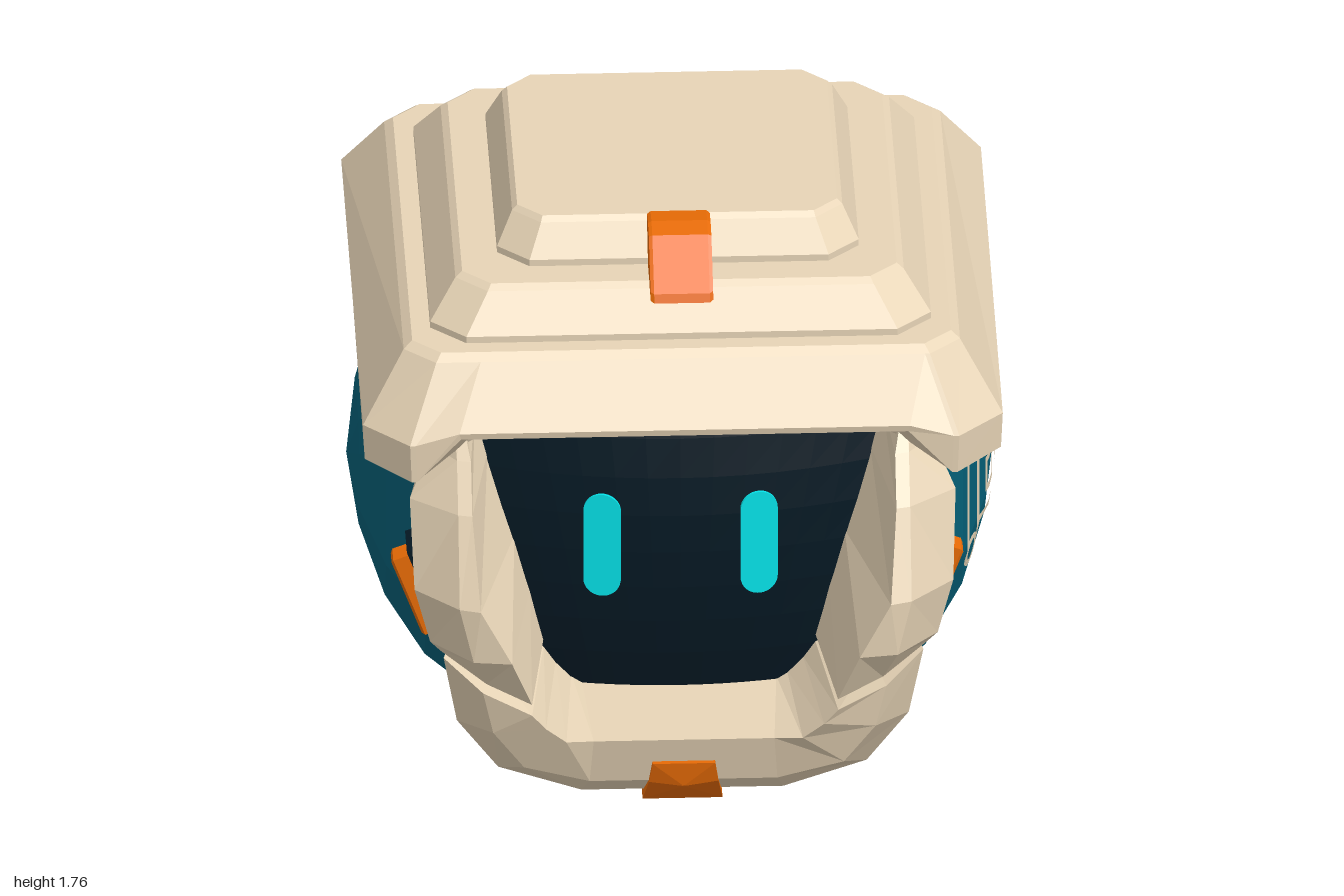
import * as THREE from 'three';
import { mergeGeometries } from 'three/addons/utils/BufferGeometryUtils.js';

const paint = (name, color, side = THREE.FrontSide) => {
  const m = new THREE.MeshStandardMaterial({ color, flatShading: true, side });
  m.name = name;
  return m;
};

// Closed solid through rings of [x, y, z] points, capped at both ends, faces turned outward
function loft(rings) {
  const tris = [];
  const n = rings[0].length;
  for (let i = 0; i < rings.length - 1; i++) {
    for (let j = 0; j < n; j++) {
      const k = (j + 1) % n;
      const a = rings[i][j], b = rings[i][k], c = rings[i + 1][k], d = rings[i + 1][j];
      tris.push([a, b, c], [a, c, d]);
    }
  }
  const cap = (ring, flip) => {
    const mid = [0, 1, 2].map(q => ring.reduce((s, p) => s + p[q], 0) / n);
    ring.forEach((p, j) => {
      const r = ring[(j + 1) % n];
      tris.push(flip ? [mid, r, p] : [mid, p, r]);
    });
  };
  cap(rings[0], true);
  cap(rings[rings.length - 1], false);
  const v = p => new THREE.Vector3(...p);
  const volume = tris.reduce((s, [a, b, c]) => s + v(a).dot(v(b).cross(v(c))), 0);
  if (volume < 0) tris.forEach(t => t.reverse());
  const g = new THREE.BufferGeometry();
  g.setAttribute('position', new THREE.Float32BufferAttribute(tris.flat(2), 3));
  g.computeVertexNormals();
  return g;
}

const mirrorRing = ring => ring.map(([x, y, z]) => [-x, y, z]);

// Square hat ring with cut corners; extra front points allow a raised brow
function hatRing(half, front, back, cut, height) {
  const n1 = (half - cut) * 0.82, n2 = (half - cut) * 0.98;
  const pts = [[-n2, front], [-n1, front], [n1, front], [n2, front], [half - cut, front],
    [half, front - cut], [half, cut - back], [half - cut, -back],
    [cut - half, -back], [-half, cut - back], [-half, front - cut], [cut - half, front]];
  return pts.map(([x, z], i) => [x, typeof height === 'number' ? height : height(z, i === 1 || i === 2), z]);
}

// Side shell: outline in (z, y), bulging outward along x
const shellOutline = [[0.43, 0.95], [0.43, 0.36], [0.28, 0.12], [-0.58, 0.12],
  [-0.76, 0.35], [-0.82, 0.98], [-0.6, 1.24], [0.28, 1.24]];
const shellCentre = [-0.17, 0.66];
const shellSteps = [[0, 0.93], [0.3, 0.9], [0.6, 0.83], [0.85, 0.72], [1, 0.59]];

// Height of the shell surface at (z, y)
function shellX(z, y) {
  const [cz, cy] = shellCentre;
  let k = 0;
  shellOutline.forEach(([z0, y0], i) => {
    const [z1, y1] = shellOutline[(i + 1) % shellOutline.length];
    const nz = y1 - y0, ny = z0 - z1;
    k = Math.max(k, (nz * (z - cz) + ny * (y - cy)) / (nz * (z0 - cz) + ny * (y0 - cy)));
  });
  const i = Math.max(1, shellSteps.findIndex(s => s[0] >= k));
  const [k0, x0] = shellSteps[i - 1], [k1, x1] = shellSteps[i];
  return x0 + (x1 - x0) * (k - k0) / (k1 - k0);
}

export function createModel() {
  const model = new THREE.Group();
  const sand = paint('sand', 0xe9d6b8);
  const teal = paint('teal', 0x046078);
  const orange = paint('orange', 0xee6e06);
  const dark = paint('dark navy', 0x051823, THREE.DoubleSide);
  const cyan = paint('cyan', 0x04e2e8);
  const add = (name, geometry, material, parent = model) => {
    const mesh = new THREE.Mesh(geometry, material);
    mesh.name = name;
    parent.add(mesh);
    return mesh;
  };

  // Round head, flattened at the front
  const headProfile = [[0.34, 0], [0.68, 0.29], [0.85, 0.64], [0.82, 0.96], [0.61, 1.24], [0.3, 1.42]];
  add('head', loft(headProfile.map(([r, y]) => Array.from({ length: 12 }, (_, i) => {
    const a = i * Math.PI / 6;
    return [r * Math.sin(a), y, Math.min(0.34, -0.15 - r * Math.cos(a))];
  }))), teal);

  // Hat: brim with a tilted underside and raised brow, then two smaller tiers
  const underside = (z, brow) => brow ? 1.28 : 1.215 - 0.078 * z;
  const brimEdge = (z, brow) => brow ? 1.265 : 1.2 - 0.078 * z;
  const brimRim = (z, brow) => brow ? 1.285 : 1.272 - 0.025 * z;
  const hat = new THREE.Group();
  hat.name = 'hat';
  model.add(hat);
  add('brim', loft([
    hatRing(0.74, 0.73, 0.72, 0.1, underside), hatRing(0.89, 0.88, 0.87, 0.12, brimEdge),
    hatRing(0.915, 0.905, 0.9, 0.13, brimEdge), hatRing(0.92, 0.91, 0.9, 0.13, brimRim),
    hatRing(0.8, 0.79, 0.78, 0.09, 1.455), hatRing(0.775, 0.765, 0.755, 0.08, 1.475)]), sand, hat);
  add('middleTier', loft([
    hatRing(0.72, 0.71, 0.68, 0.1, 1.46), hatRing(0.72, 0.71, 0.68, 0.1, 1.495),
    hatRing(0.645, 0.63, 0.6, 0.09, 1.6), hatRing(0.625, 0.61, 0.58, 0.08, 1.615)]), sand, hat);
  add('topTier', loft([
    hatRing(0.52, 0.51, 0.48, 0.09, 1.6), hatRing(0.52, 0.51, 0.48, 0.09, 1.635),
    hatRing(0.475, 0.45, 0.44, 0.08, 1.725), hatRing(0.46, 0.435, 0.425, 0.07, 1.74)]), sand, hat);

  // Orange clip on the hat front, as a side profile in (z, y)
  const clipProfile = [[0.725, 1.6], [0.715, 1.625], [0.58, 1.745], [0.52, 1.76], [0.45, 1.755],
    [0.43, 1.73], [0.47, 1.62], [0.6, 1.605]];
  add('hatClip', loft([[-0.09, 0.012], [-0.08, 0], [0.08, 0], [0.09, 0.012]].map(([x, inset]) =>
    clipProfile.map(([z, y]) => [x, y + (1.68 - y) * inset * 5, z + (0.58 - z) * inset * 5]))), orange, hat);

  // Domed visor, narrower at the bottom, with thin upright eyes
  const visor = new THREE.PlaneGeometry(2, 1.17, 12, 10).translate(0, 0.735, 0);
  const vp = visor.attributes.position;
  for (let i = 0; i < vp.count; i++) {
    const y = vp.getY(i), x = vp.getX(i) * (0.34 + (y - 0.15) * 0.27);
    vp.setXYZ(i, x, y, 0.625 - 0.33 * (x * x + (y - 0.76) ** 2));
  }
  visor.computeVertexNormals();
  add('visor', visor, dark);
  const eye = new THREE.Shape();
  eye.absarc(0, 0.11, 0.054, 0, Math.PI);
  eye.absarc(0, -0.11, 0.054, Math.PI, Math.PI * 2);
  const eyeGeometry = new THREE.ExtrudeGeometry(eye, { depth: 0.009, bevelEnabled: false });

  // Cheek sections as [x, z]: inner rear, inner front, outer front, outer side, outer rear
  const cheekSections = [
    [1.26, [0.63, 0.4], [0.64, 0.68], [0.66, 0.67], [0.68, 0.6], [0.64, 0.31]],
    [1.13, [0.585, 0.44], [0.61, 0.79], [0.65, 0.78], [0.72, 0.68], [0.68, 0.35]],
    [1.0, [0.55, 0.48], [0.61, 0.88], [0.65, 0.87], [0.785, 0.76], [0.72, 0.41]],
    [0.75, [0.475, 0.53], [0.59, 1.0], [0.65, 0.98], [0.775, 0.85], [0.69, 0.47]],
    [0.58, [0.43, 0.54], [0.5, 1.0], [0.61, 0.985], [0.73, 0.85], [0.645, 0.525]],
  ].map(([y, ...pts]) => pts.map(([x, z]) => [x, y, z]));
  const cheekEnd = [[0.39, 0.41, 0.52], [0.44, 0.41, 0.93], [0.57, 0.47, 0.91],
    [0.7, 0.54, 0.83], [0.63, 0.55, 0.53]];

  for (const s of [1, -1]) {
    const side = s > 0 ? 'left' : 'right';
    const turn = ring => s > 0 ? ring : mirrorRing(ring);
    const eyeMesh = add(side + 'Eye', eyeGeometry, cyan);
    eyeMesh.position.set(s * 0.225, 0.758, 0.607);
    eyeMesh.rotation.y = s * 0.147;
    add(side + 'Cheek', loft([...cheekSections, cheekEnd].map(turn)), sand);

    // Side shell
    const [cz, cy] = shellCentre;
    const steps = [[0.97, 0.42], ...shellSteps.slice(1).reverse(), [0.001, 0.93]];
    add(side + 'Shell', loft(steps.map(([k, x]) =>
      shellOutline.map(([z, y]) => [s * x, cy + (y - cy) * k, cz + (z - cz) * k]))), teal);

    // Side buckle on a dark backing
    const buckle = new THREE.Group();
    buckle.name = side + 'Buckle';
    buckle.position.set(s * 0.725, 0.5, 0.36);
    buckle.rotation.z = -s * 0.36;
    model.add(buckle);
    add('backing', new THREE.BoxGeometry(0.05, 0.31, 0.135), dark, buckle).position.x = -s * 0.025;
    const slab = (x, h, d) => [[x, -h, -d], [x, h, -d], [x, h, d], [x, -h, d]];
    add('strap', loft([slab(-0.02 * s, 0.13, 0.037), slab(0.05 * s, 0.13, 0.037),
      slab(0.058 * s, 0.122, 0.029)]), orange, buckle);
  }

  // Chin guard: sections from the middle out to the left end, mirrored to the right
  const chin = [
    [[0.28, 0.26, 0.5], [0.26, 0.25, 0.86], [0.27, 0.1, 0.82], [0.29, 0.03, 0.74], [0.29, 0.03, 0.4]],
    [[0.31, 0.28, 0.5], [0.34, 0.27, 0.9], [0.46, 0.17, 0.86], [0.53, 0.11, 0.74], [0.47, 0.07, 0.37]],
    [[0.355, 0.33, 0.51], [0.4, 0.33, 0.93], [0.55, 0.3, 0.89], [0.65, 0.28, 0.77], [0.56, 0.26, 0.43]],
    [[0.39, 0.385, 0.52], [0.44, 0.38, 0.94], [0.58, 0.44, 0.91], [0.69, 0.51, 0.82], [0.62, 0.53, 0.53]],
  ];
  add('chinGuard', loft([...chin.map(mirrorRing).reverse(), ...chin]), sand);

  // Faceted orange stud on the chin
  const studOutline = [[-0.09, 0.17, 0.855], [0.09, 0.17, 0.855], [0.1, 0.1, 0.832],
    [0.115, 0.005, 0.755], [-0.115, 0.005, 0.755], [-0.1, 0.1, 0.832]];
  const stud = (k, dz) => studOutline
    .map(([x, y, z]) => [x * k, 0.09 + (y - 0.09) * k, 0.83 + (z - 0.83) * k + dz]);
  add('chinStud', loft([stud(1, -0.08), stud(1, 0), stud(0.05, 0.012)]), orange);

  // Scroll emblem laid over the left shell
  const lines = [];
  const bar = (z0, z1, y0, y1) => {
    const w = Math.abs(z1 - z0), h = Math.abs(y1 - y0);
    lines.push(new THREE.PlaneGeometry(w, h, Math.ceil(w / 0.02), Math.ceil(h / 0.02))
      .translate(-(z0 + z1) / 2, (y0 + y1) / 2, 0));
  };
  const frame = (z0, z1, y0, y1, t = 0.019) => {
    bar(z0, z0 + t, y0, y1);
    bar(z1 - t, z1, y0, y1);
    bar(z0 + t, z1 - t, y0, y0 + t);
    bar(z0 + t, z1 - t, y1 - t, y1);
  };
  frame(-0.287, 0.107, 0.533, 0.952);
  for (const z of [-0.175, -0.015]) {
    for (const y of [0.655, 0.83]) frame(z - 0.053, z + 0.053, y - 0.056, y + 0.056);
  }
  for (const z of [0.097, 0.177]) bar(z - 0.0095, z + 0.0095, 0.49, 0.99);
  for (const y of [0.47, 1.01]) lines.push(new THREE.RingGeometry(0.031, 0.05, 20, 2).translate(-0.14, y, 0));
  const emblem = mergeGeometries(lines);
  const p = emblem.attributes.position;
  for (let i = 0; i < p.count; i++) {
    const z = -p.getX(i), y = p.getY(i);
    p.setXYZ(i, shellX(z, y) + 0.011, y, z);
  }
  emblem.computeVertexNormals();
  add('scrollEmblem', emblem, sand);

  return model;
}
